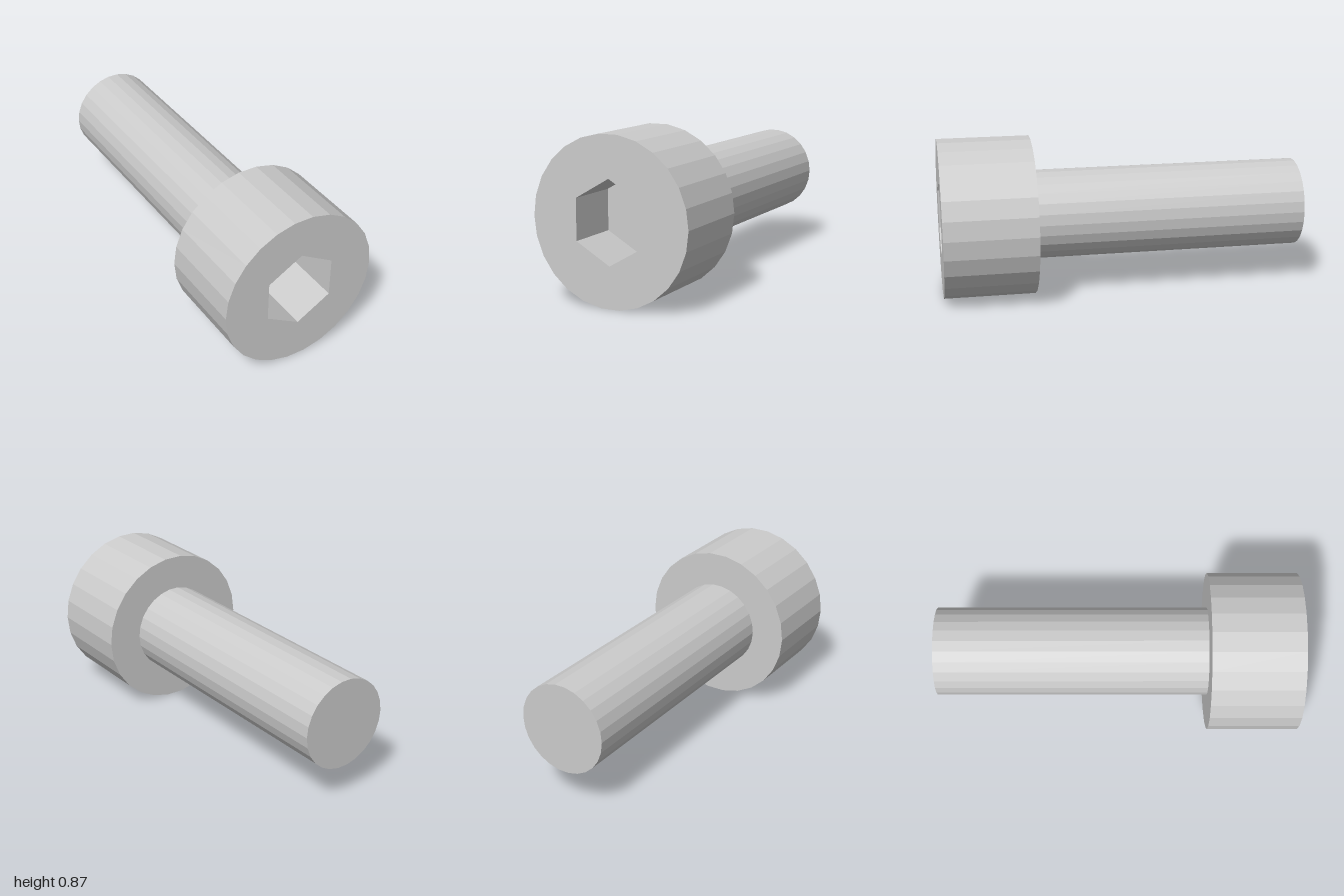
import * as THREE from 'three';

const SIDES = 26;
const HEAD_R = 0.437, SHAFT_R = 0.245, SOCKET_R = 0.217;
const FRONT = 1, SHOULDER = 0.5, SOCKET_FLOOR = 0.7, TIP = -1;

// Corners of a regular polygon in the xy plane
function polygon(radius, sides, start) {
  return Array.from({ length: sides }, (_, i) => {
    const a = start + (i / sides) * Math.PI * 2;
    return new THREE.Vector2(radius * Math.cos(a), radius * Math.sin(a));
  });
}

// Faceted turned surface around the z axis from [radius, z] pairs
function turned(profile, sides, start) {
  const points = profile.map(([r, z]) => new THREE.Vector2(r, z));
  return new THREE.LatheGeometry(points, sides, start).rotateX(Math.PI / 2);
}

export function createModel() {
  const group = new THREE.Group();
  const material = new THREE.MeshStandardMaterial({ color: 0xcccccc, flatShading: true });
  const add = (name, geometry) => {
    const mesh = new THREE.Mesh(geometry, material);
    mesh.name = name;
    // Rests on the flat facet under the head
    mesh.position.y = HEAD_R * Math.cos(Math.PI / SIDES);
    group.add(mesh);
  };

  // Plain shaft with a flat tip
  add('shaft', turned([[0, TIP], [SHAFT_R, TIP], [SHAFT_R, SHOULDER]], SIDES, Math.PI / 2));

  // Head: shoulder ring and side wall
  add('head', turned([[SHAFT_R, SHOULDER], [HEAD_R, SHOULDER], [HEAD_R, FRONT]], SIDES, Math.PI / 2));

  // Front face with the hexagonal opening
  const face = new THREE.Shape(polygon(HEAD_R, SIDES, 0));
  face.holes.push(new THREE.Path(polygon(SOCKET_R, 6, Math.PI / 2)));
  add('headFace', new THREE.ShapeGeometry(face).translate(0, 0, FRONT));

  // Hexagonal socket: walls and floor
  add('hexSocket', turned([[SOCKET_R, FRONT], [SOCKET_R, SOCKET_FLOOR], [0, SOCKET_FLOOR]], 6, 0));

  return group;
}
